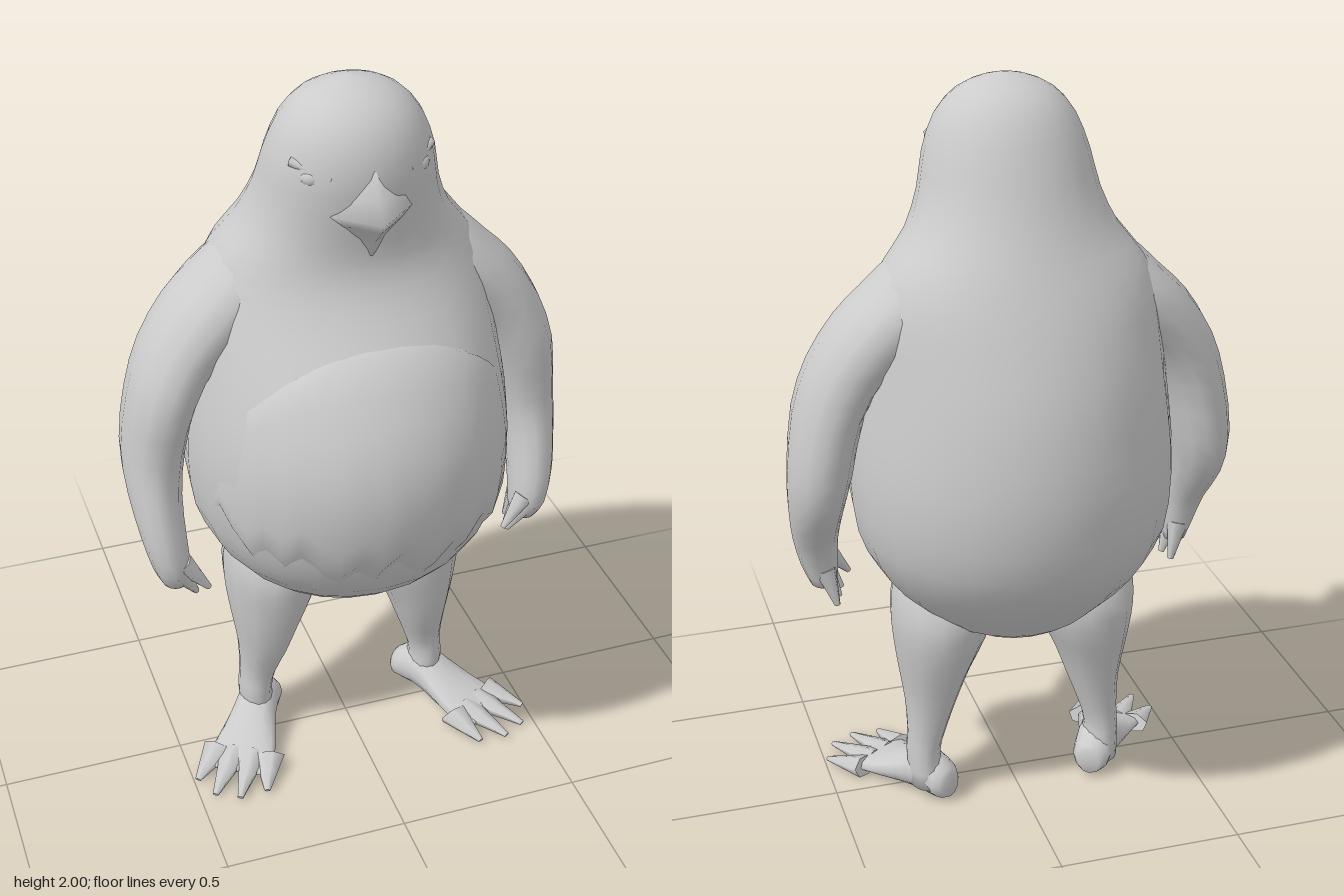
import * as THREE from 'three';

const material = new THREE.MeshStandardMaterial({ color: 0xcccccc, side: THREE.DoubleSide });
const V = (x, y, z) => new THREE.Vector3(x, y, z);

// Smoothly resample rings given as [x, y, z, radiusX, radiusZ]
function resample(rings, steps = 2) {
  const centres = new THREE.CatmullRomCurve3(rings.map(r => V(r[0], r[1], r[2])), false, 'catmullrom', 0.5);
  const radii = new THREE.CatmullRomCurve3(rings.map(r => V(r[3], r[4], 0)), false, 'catmullrom', 0.5);
  const n = (rings.length - 1) * steps;
  return Array.from({ length: n + 1 }, (_, i) => {
    const c = centres.getPoint(i / n), r = radii.getPoint(i / n);
    return [c.x, c.y, c.z, r.x, r.y];
  });
}

// Closed smooth skin over elliptical rings listed from bottom to top
function loft(rings, sides = 14) {
  const pos = [], idx = [];
  rings.forEach(([x, y, z, rx, rz]) => {
    for (let j = 0; j < sides; j++) {
      const a = j / sides * Math.PI * 2;
      pos.push(x + rx * Math.cos(a), y, z + rz * Math.sin(a));
    }
  });
  for (let i = 0; i < rings.length - 1; i++) {
    for (let j = 0; j < sides; j++) {
      const a = i * sides + j, b = i * sides + (j + 1) % sides;
      idx.push(a, a + sides, b, b, a + sides, b + sides);
    }
  }
  const last = rings.length - 1, base = rings.length * sides;
  pos.push(...rings[0].slice(0, 3), ...rings[last].slice(0, 3));
  for (let j = 0; j < sides; j++) {
    const k = (j + 1) % sides;
    idx.push(base, j, k, base + 1, last * sides + k, last * sides + j);
  }
  return build(pos, idx);
}

function build(pos, idx) {
  const g = new THREE.BufferGeometry();
  g.setAttribute('position', new THREE.Float32BufferAttribute(pos, 3));
  g.setIndex(idx);
  g.computeVertexNormals();
  return g;
}

// Tapered digit between two points
function digit(from, to, r, tip = 0.008) {
  const dir = to.clone().sub(from);
  const g = new THREE.CylinderGeometry(tip, r, dir.length(), 6, 2);
  g.applyQuaternion(new THREE.Quaternion().setFromUnitVectors(V(0, 1, 0), dir.normalize()));
  const mid = from.clone().add(to).multiplyScalar(0.5);
  return g.translate(mid.x, mid.y, mid.z);
}

function mirrored(g) {
  const m = g.clone().scale(-1, 1, 1), i = m.index.array;
  for (let k = 0; k < i.length; k += 3) [i[k], i[k + 1]] = [i[k + 1], i[k]];
  return m;
}

// Torso and head profile: y, half width, front z, back z
const bodyRings = resample([
  [0.51, 0.06, 0.05, -0.08], [0.54, 0.17, 0.14, -0.21], [0.6, 0.27, 0.24, -0.28],
  [0.7, 0.36, 0.345, -0.37], [0.82, 0.415, 0.41, -0.44], [0.98, 0.43, 0.447, -0.465],
  [1.12, 0.42, 0.442, -0.455], [1.26, 0.4, 0.385, -0.425], [1.38, 0.385, 0.3, -0.38],
  [1.47, 0.37, 0.235, -0.34], [1.55, 0.335, 0.2, -0.3], [1.63, 0.272, 0.2, -0.26],
  [1.72, 0.232, 0.215, -0.218], [1.81, 0.212, 0.222, -0.18], [1.9, 0.178, 0.198, -0.135],
  [1.96, 0.125, 0.145, -0.08], [1.99, 0.06, 0.085, -0.015], [2.0, 0.008, 0.04, 0.025],
].map(([y, rx, f, b]) => [0, y, (f + b) / 2, rx, (f - b) / 2]));

// Point on the body at height y and angle a from the front, raised by off
function onBody(y, a, off) {
  const i = Math.max(1, bodyRings.findIndex(r => r[1] >= y));
  const p = bodyRings[i - 1], q = bodyRings[i], t = (y - p[1]) / (q[1] - p[1]);
  const [, , z, rx, rz] = p.map((v, k) => v + (q[k] - v) * t);
  return [(rx + off) * Math.sin(a), y, z + (rz + off) * Math.cos(a)];
}

// Raised belly: stepped lip on top fading to the sides, ragged lower edge
function bellyGeometry() {
  const cols = 22, rows = 9, pos = [], idx = [];
  for (let i = 0; i <= rows; i++) {
    for (let j = 0; j <= cols; j++) {
      const s = j / cols * 2 - 1, edge = Math.abs(s);
      const top = 1.385 - 0.3 * edge ** 2.2;
      const bottom = 0.74 + 0.12 * edge ** 2 + [0, 0.07, 0.02, -0.03, 0.04][j % 5];
      const y = i === 0 ? top + 0.006 : top + (bottom - top) * (i - 1) / (rows - 1);
      const lift = 0.02 * (1 - edge ** 2 * (2.2 - 1.2 * i / rows));
      const off = i === 0 ? -0.02 : i === rows ? -0.008 : lift;
      pos.push(...onBody(y, s * 1.3, off));
      if (i < rows && j < cols) {
        const a = i * (cols + 1) + j, b = a + cols + 1;
        idx.push(a, b, a + 1, a + 1, b, b + 1);
      }
    }
  }
  return build(pos, idx);
}

export function createModel() {
  const model = new THREE.Group();
  const add = (name, g) => {
    const mesh = new THREE.Mesh(g, material);
    mesh.name = name;
    model.add(mesh);
  };
  const pair = (name, g) => {
    add('left' + name, g);
    add('right' + name, mirrored(g));
  };

  add('bodyAndHead', loft(bodyRings, 24));
  add('belly', bellyGeometry());

  // Ridged beak growing out of the face
  add('beak', loft([
    [0, 1.6, 0.18, 0.02, 0.022], [0, 1.65, 0.18, 0.055, 0.045], [0, 1.69, 0.18, 0.095, 0.085],
    [0, 1.715, 0.18, 0.115, 0.104], [0, 1.76, 0.175, 0.11, 0.074], [0, 1.83, 0.17, 0.06, 0.05],
  ], 4));

  // Small eyes under pointed brows
  const eye = new THREE.SphereGeometry(0.024, 10, 8).scale(1, 0.8, 0.6);
  pair('Eye', eye.rotateY(0.7).translate(0.142, 1.805, 0.156));
  pair('Brow', digit(V(0.176, 1.838, 0.116), V(0.1, 1.812, 0.195), 0.013, 0.004));

  // Arms, flaring into the shoulders
  pair('Arm', loft(resample([
    [0.5, 0.645, 0.06, 0.035, 0.045], [0.508, 0.7, 0.067, 0.05, 0.067],
    [0.52, 0.79, 0.047, 0.06, 0.082], [0.526, 0.9, -0.008, 0.07, 0.115],
    [0.517, 1.02, -0.04, 0.083, 0.13], [0.487, 1.18, -0.028, 0.092, 0.148],
    [0.425, 1.31, -0.035, 0.112, 0.15], [0.325, 1.42, -0.042, 0.143, 0.157],
    [0.265, 1.49, -0.045, 0.133, 0.148], [0.215, 1.55, -0.045, 0.123, 0.12],
    [0.18, 1.6, -0.045, 0.1, 0.08],
  ]), 14));
  for (let i = 0; i < 3; i++) {
    const z = 0.022 + i * 0.04;
    pair('Finger' + (i + 1), digit(V(0.5, 0.7, z), V(0.475 - i * 0.014, 0.598 + i * 0.005, z - 0.02), 0.03));
  }
  pair('Thumb', digit(V(0.485, 0.72, 0.1), V(0.42, 0.638, 0.115), 0.03));

  // Legs, tapering into the hips
  pair('Leg', loft(resample([
    [0.25, 0.04, -0.055, 0.052, 0.065], [0.26, 0.13, -0.045, 0.046, 0.066],
    [0.25, 0.2, -0.045, 0.052, 0.066], [0.234, 0.3, -0.035, 0.072, 0.095],
    [0.223, 0.4, -0.035, 0.098, 0.125], [0.208, 0.5, -0.04, 0.127, 0.15],
    [0.205, 0.58, -0.04, 0.135, 0.153], [0.2, 0.65, -0.04, 0.135, 0.12],
    [0.2, 0.7, -0.04, 0.125, 0.07],
  ]), 14));

  // Splayed feet, lofted from heel to ball, with fanned toes
  const place = g => g.rotateY(0.57).translate(0.25, 0, -0.045);
  const foot = loft(resample([
    [0, -0.09, -0.05, 0.03, 0.035], [0, -0.065, -0.058, 0.052, 0.052],
    [0, 0.0, -0.072, 0.058, 0.065], [0, 0.06, -0.058, 0.066, 0.052],
    [-0.005, 0.14, -0.038, 0.084, 0.032], [-0.008, 0.23, -0.024, 0.098, 0.014],
    [-0.008, 0.25, -0.02, 0.085, 0.006],
  ]), 12).rotateX(Math.PI / 2);
  pair('Foot', place(foot));
  [[-0.11, 0.3], [-0.045, 0.345], [0.025, 0.35], [0.09, 0.305]].forEach(([s, t], i) => {
    const toe = digit(V(s * 0.75, 0.05, 0.18), V(s, 0.022, t), 0.045, 0.009).scale(1, 0.6, 1);
    pair('Toe' + (i + 1), place(toe));
  });

  return model;
}
